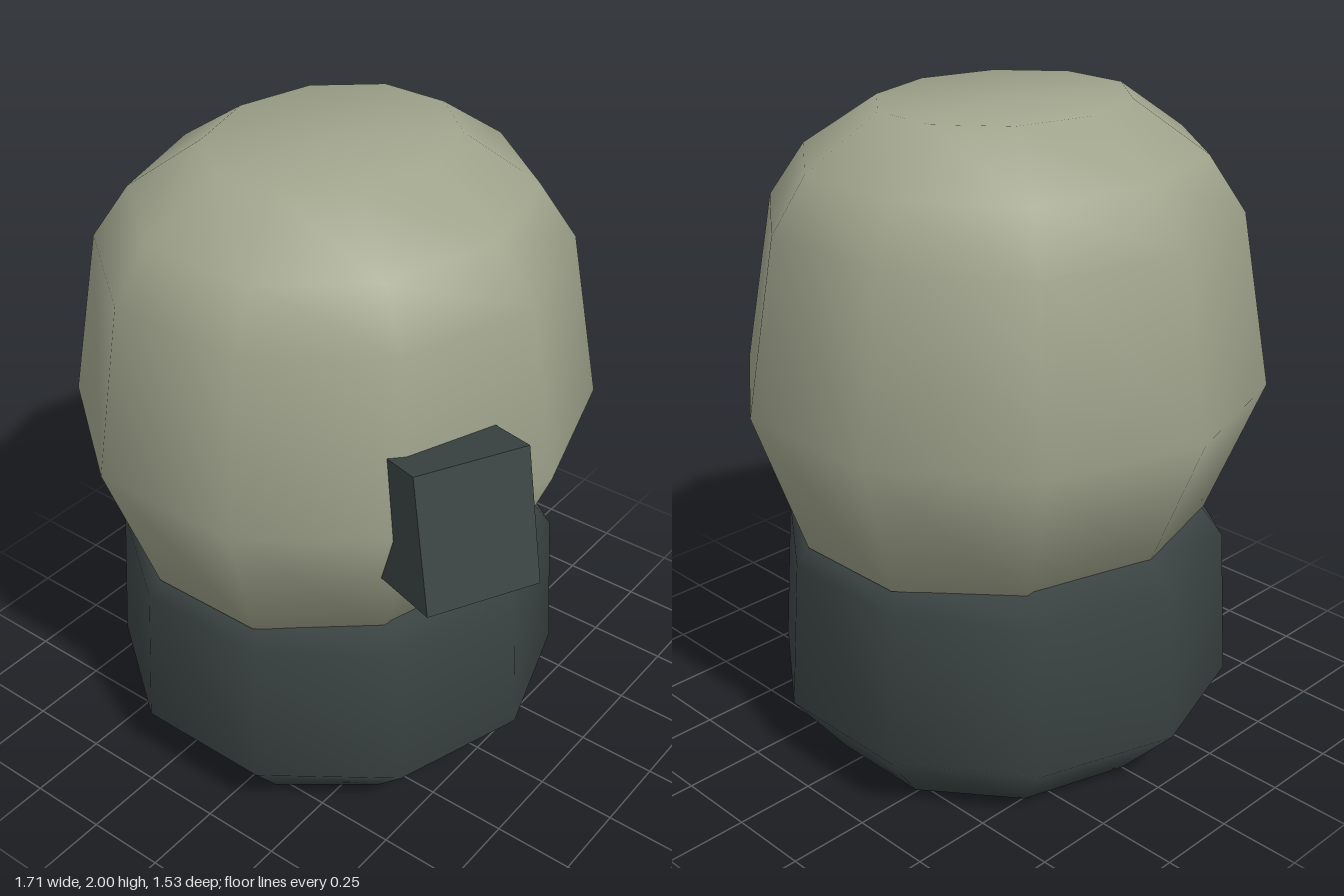
import * as THREE from 'three';
import { mergeVertices } from 'three/addons/utils/BufferGeometryUtils.js';

const SIDES = 10;
const AXIS_X = -0.08;

// Smooth closed ten-sided body from rings of [height, radius in x, radius in z], bottom to top
function ringBody(name, rings, material) {
  const profile = [
    [rings[0][0], 0, 0],
    ...rings,
    [rings[rings.length - 1][0], 0, 0],
  ];
  const lathe = new THREE.LatheGeometry(
    profile.map(([y, rx]) => new THREE.Vector2(rx, y)), SIDES, Math.PI / 2);
  const pos = lathe.attributes.position;
  for (let i = 0; i < pos.count; i++) {
    const [, rx, rz] = profile[i % profile.length];
    if (rx > 0) pos.setZ(i, pos.getZ(i) * rz / rx);
  }
  lathe.deleteAttribute('normal');
  lathe.deleteAttribute('uv');
  const geometry = mergeVertices(lathe, 1e-4);
  geometry.computeVertexNormals();
  const mesh = new THREE.Mesh(geometry, material);
  mesh.name = name;
  mesh.position.x = AXIS_X;
  return mesh;
}

export function createModel() {
  const group = new THREE.Group();
  group.name = 'domeOnBase';
  const pale = new THREE.MeshStandardMaterial({ color: 0xa0a48c });
  const dark = new THREE.MeshStandardMaterial({ color: 0x3b4443 });

  // Dark tub at the bottom
  group.add(ringBody('base', [
    [0, 0.525, 0.557],
    [0.2, 0.712, 0.715],
    [0.67, 0.683, 0.683],
    [0.755, 0.605, 0.63],
  ], dark));

  // Pale bulging dome
  group.add(ringBody('dome', [
    [0.73, 0.592, 0.657],
    [1.17, 0.775, 0.805],
    [1.69, 0.68, 0.715],
    [1.85, 0.565, 0.615],
    [2.0, 0.34, 0.4],
  ], pale));

  // Tilted block set into the side of the dome
  const block = new THREE.Mesh(new THREE.BoxGeometry(0.34, 0.4, 0.4), dark);
  block.name = 'sideBlock';
  block.position.set(0.556, 1.207, 0.333);
  block.rotation.set(-0.255, 1.09, 0, 'YXZ');
  group.add(block);

  return group;
}
